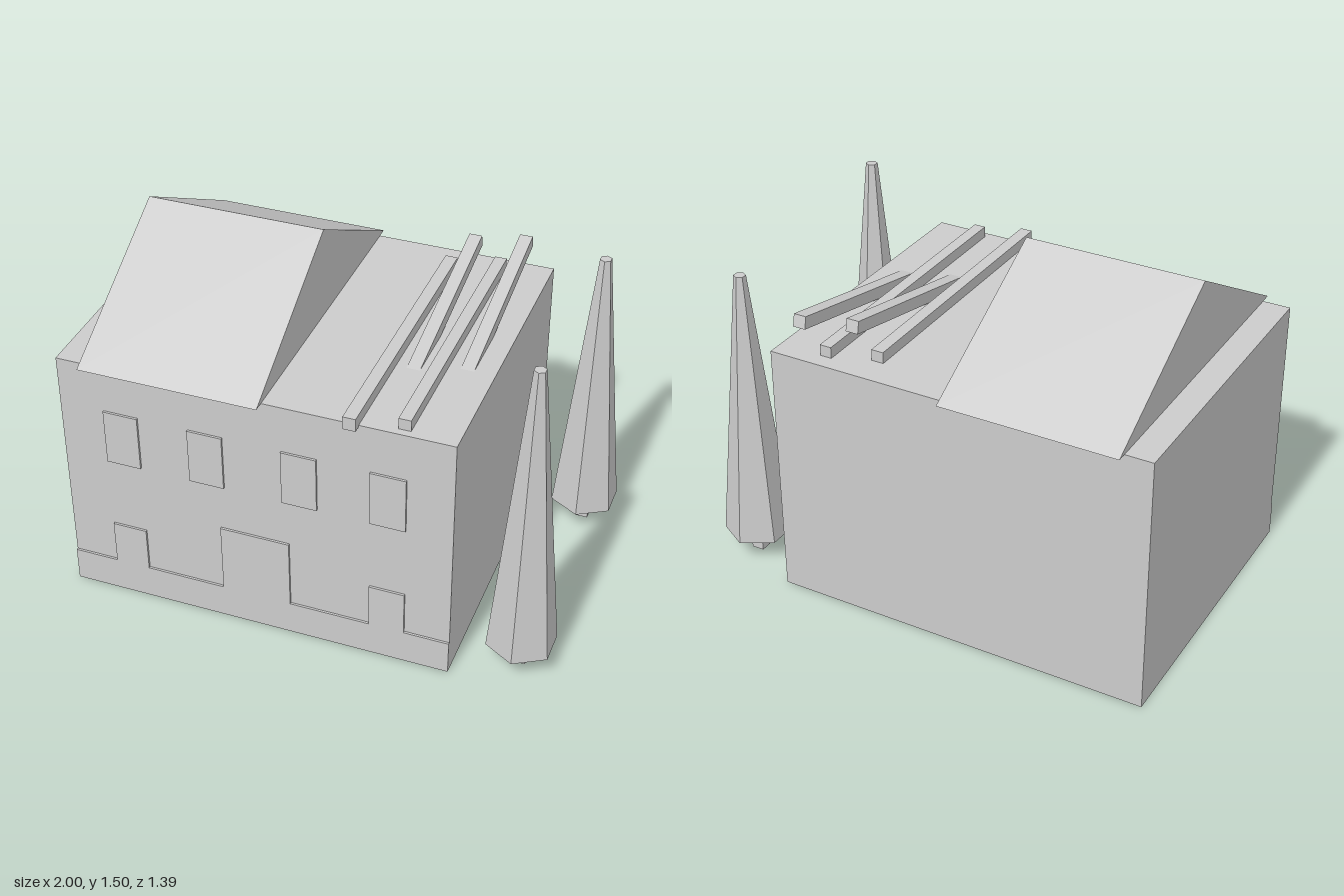
import * as THREE from 'three';

export function createModel() {
  const model = new THREE.Group();
  model.name = 'houseWithTrees';
  const grey = new THREE.MeshStandardMaterial({ color: 0xcccccc, flatShading: true });
  grey.name = 'plain grey';

  function add(name, geometry, x = 0, y = 0, z = 0, parent = model) {
    const mesh = new THREE.Mesh(geometry, grey);
    mesh.name = name;
    mesh.position.set(x, y, z);
    parent.add(mesh);
    return mesh;
  }
  const box = (w, h, d) => new THREE.BoxGeometry(w, h, d);
  const shapeOf = (points) => new THREE.Shape(points.map(([x, y]) => new THREE.Vector2(x, y)));
  const extrude = (points, depth) =>
    new THREE.ExtrudeGeometry(shapeOf(points), { depth, bevelEnabled: false });

  // House body
  const left = -1, right = 0.626, wallTop = 1.108, front = 0.65, back = -0.653;
  add('houseBody', box(right - left, wallTop, front - back),
    (left + right) / 2, wallTop / 2, (front + back) / 2);

  // Thin facade plinth stepping up around the lower windows and the door
  const plinth = [[left, 0], [right, 0], [right, 0.148]];
  for (const [x0, x1, top] of [[0.293, 0.439, 0.342], [-0.333, -0.042, 0.455], [-0.812, -0.667, 0.342]]) {
    plinth.push([x1, 0.148], [x1, top], [x0, top], [x0, 0.148]);
  }
  plinth.push([left, 0.148]);
  add('facadePlinth', extrude(plinth, 0.0095), 0, 0, front);

  // Upper window plates
  for (const x of [-0.739, -0.382, 0.006, 0.366]) {
    add('upperWindow', box(0.145, 0.242, 0.0095), x, 0.783, front + 0.00475);
  }

  // Gable roof over the left part of the house
  const roof = extrude([[-0.697, 1.11], [0.697, 1.11], [0, 1.498]], 0.745);
  roof.rotateY(Math.PI / 2);
  add('gableRoof', roof, -0.885);

  // Beams lying flat on the open deck
  add('flatBeam', box(0.052, 0.055, 1.205), 0.221, 1.1275, 0.079);
  add('flatBeam', box(0.05, 0.055, 1.205), 0.415, 1.1275, 0.016);

  // Beams rising toward the back, their lower ends sunk into the deck
  for (const [x, topZ] of [[0.317, -0.537], [0.513, -0.603]]) {
    const beam = new THREE.Group();
    beam.name = 'leaningBeam';
    beam.position.set(x, 1.272, topZ);
    beam.rotation.x = 0.208;
    add('beam', box(0.054, 0.052, 0.82), 0, -0.026, 0.41, beam);
    model.add(beam);
  }

  // Six-sided trees on square trunks
  for (const [z, top] of [[0.486, 1.402], [-0.49, 1.302]]) {
    const tree = new THREE.Group();
    tree.name = 'tree';
    tree.position.set(0.873, 0, z);
    const height = 1.302;
    add('foliage', new THREE.CylinderGeometry(0.025, 0.146, top - 0.1, 6), 0, (top + 0.1) / 2, 0, tree);
    add('trunk', box(0.054, 0.1, 0.052), 0, 0.05, 0, tree);
    model.add(tree);
  }

  return model;
}
